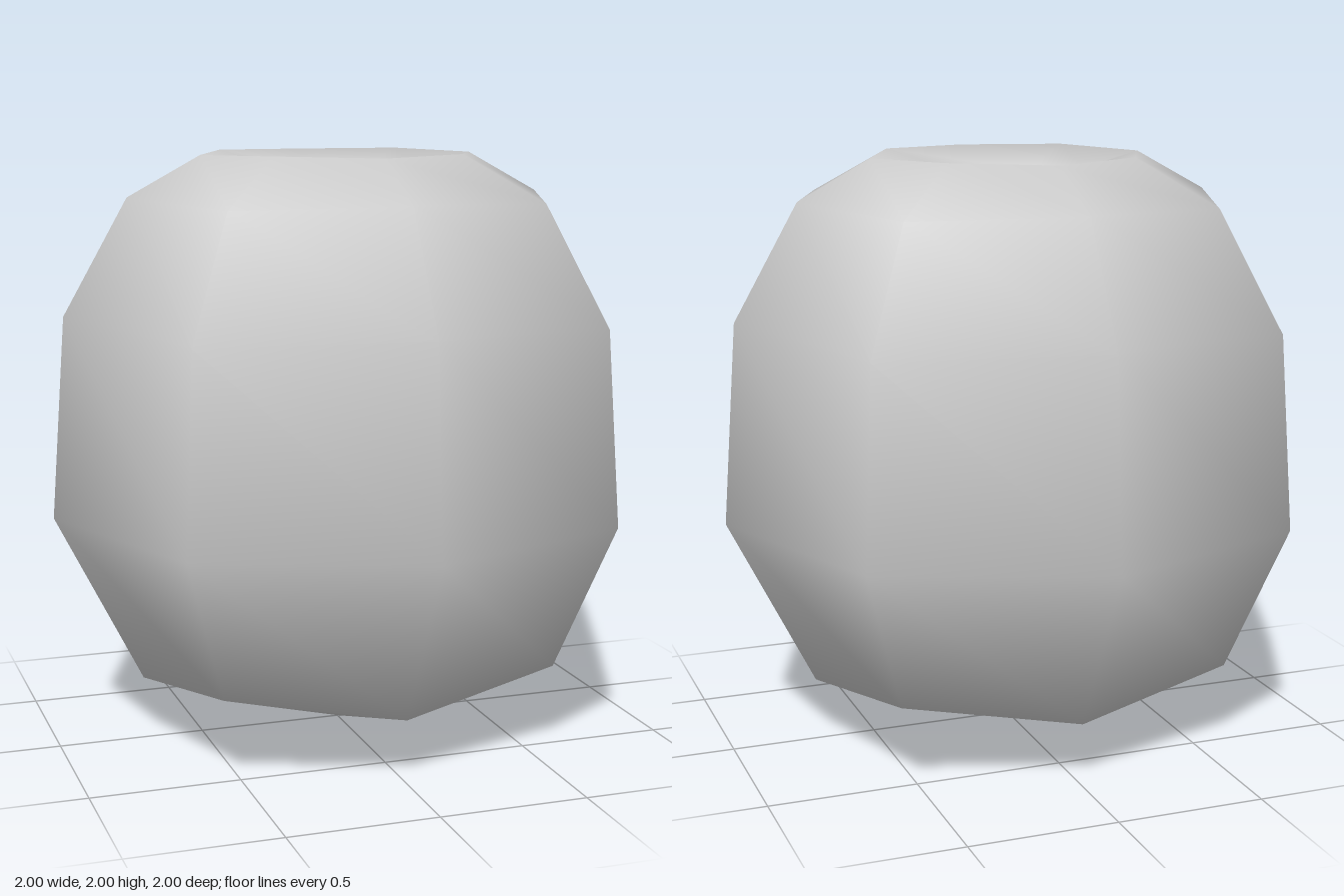
import * as THREE from 'three';
import { mergeVertices } from 'three/addons/utils/BufferGeometryUtils.js';

const SIDES = 8;

// Smooth skin over eight-sided rings, listed bottom to top.
// Each ring: [radius on the axes, height there, radius on the diagonals, height there]
function ringSkin(rings) {
  const positions = [];
  const index = [];
  rings.forEach(([axisR, axisY, diagR = axisR, diagY = axisY], j) => {
    for (let i = 0; i < SIDES; i++) {
      const angle = (i / SIDES) * Math.PI * 2;
      const r = i % 2 ? diagR : axisR;
      positions.push(r * Math.sin(angle), i % 2 ? diagY : axisY, r * Math.cos(angle));
      if (j === 0) continue;
      const next = (i + 1) % SIDES;
      const a = (j - 1) * SIDES + i, b = (j - 1) * SIDES + next;
      const c = j * SIDES + next, d = j * SIDES + i;
      if (rings[j - 1][0] > 0) index.push(a, b, d);
      if (rings[j][0] > 0) index.push(b, c, d);
      else index.push(a, b, c);
    }
  });
  const geometry = new THREE.BufferGeometry();
  geometry.setAttribute('position', new THREE.Float32BufferAttribute(positions, 3));
  geometry.setIndex(index);
  const merged = mergeVertices(geometry, 1e-4); // one shared vertex at each pole
  merged.computeVertexNormals();
  return merged;
}

export function createModel() {
  const group = new THREE.Group();
  group.name = 'fruit';
  const material = new THREE.MeshStandardMaterial({ color: 0xcccccc });

  const add = (name, geometry) => {
    const mesh = new THREE.Mesh(geometry, material);
    mesh.name = name;
    group.add(mesh);
    return mesh;
  };

  // Rounded body with a dimple sunk into the top
  add('body', ringSkin([
    [0, 0],
    [0.705, 0.215, 0.81, 0.3],
    [1, 0.8, 1.025, 0.8],
    [0.95, 1.475, 0.978, 1.45],
    [0.73, 1.86, 0.754, 1.845],
    [0.48, 1.995, 0.46, 2],
    [0.28, 1.945, 0.25, 1.945],
    [0.13, 1.82],
    [0, 1.76],
  ]));

  // Short stem base in the dimple
  add('stemBase', ringSkin([[0, 1.74], [0.07, 1.76], [0.087, 1.83], [0.07, 1.87], [0, 1.88]]));

  // Round tip of the stem
  add('stemTip', new THREE.SphereGeometry(0.074, 16, 12)).position.y = 1.87;

  return group;
}
